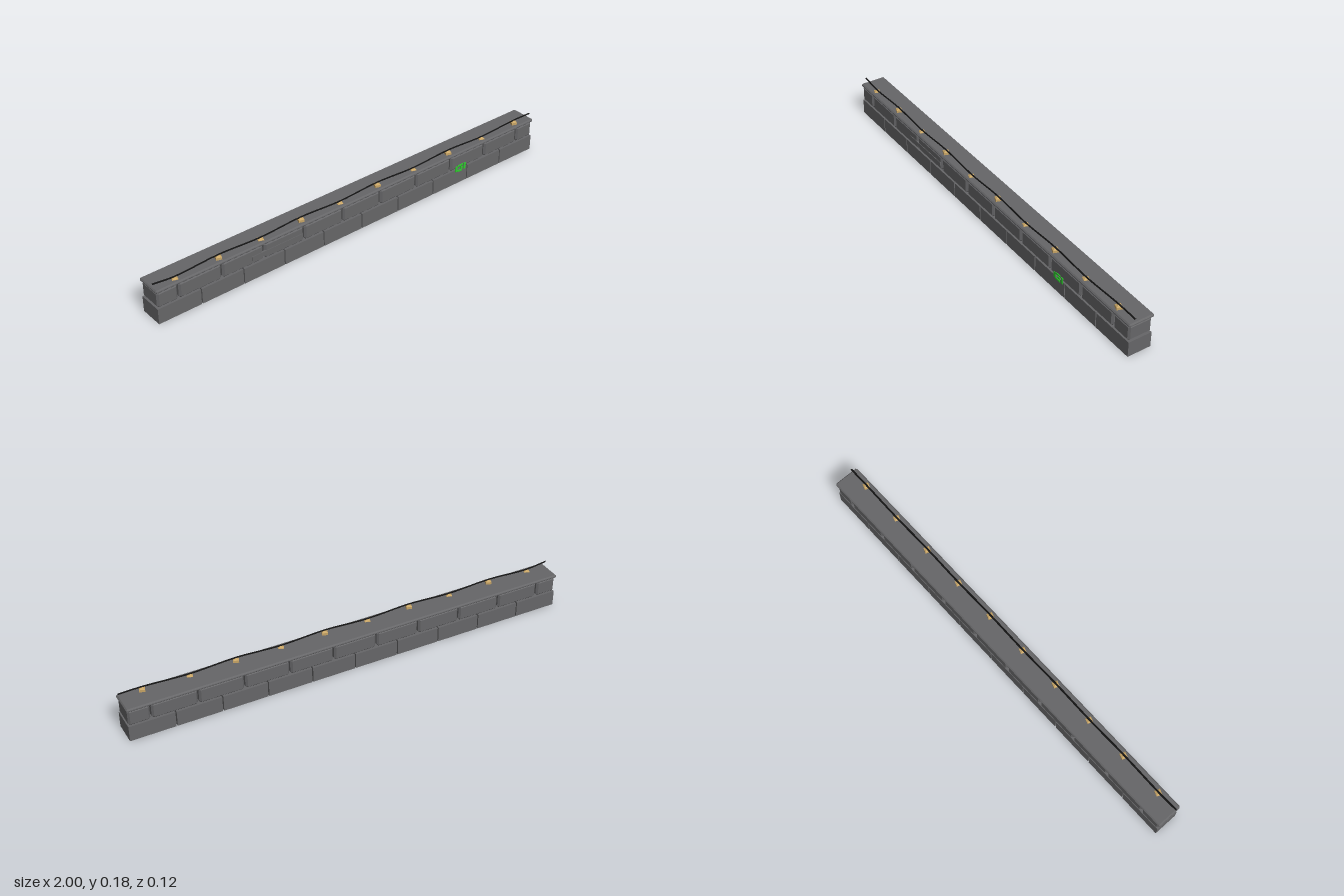
import * as THREE from 'three';
import { ConvexGeometry } from 'three/addons/geometries/ConvexGeometry.js';

const stone = new THREE.MeshStandardMaterial({ color: 0x666668 });
stone.name = 'grey stone';
const brass = new THREE.MeshStandardMaterial({ color: 0xc8a566 });
brass.name = 'tan brass';
const black = new THREE.MeshStandardMaterial({ color: 0x161616 });
black.name = 'black cable';
const green = new THREE.MeshStandardMaterial({ color: 0x2fc92f });
green.name = 'green paint';

// Box with every edge cut at 45 degrees
function chamferedBox(w, h, d, c) {
  const points = [];
  for (const x of [-1, 1]) for (const y of [-1, 1]) for (const z of [-1, 1]) {
    points.push(
      new THREE.Vector3(x * w / 2, y * (h / 2 - c), z * (d / 2 - c)),
      new THREE.Vector3(x * (w / 2 - c), y * h / 2, z * (d / 2 - c)),
      new THREE.Vector3(x * (w / 2 - c), y * (h / 2 - c), z * d / 2));
  }
  return new ConvexGeometry(points);
}

export function createModel() {
  const model = new THREE.Group();
  model.name = 'wall';

  function add(parent, name, geometry, material, x, y, z) {
    const mesh = new THREE.Mesh(geometry, material);
    mesh.name = name;
    mesh.position.set(x, y, z);
    parent.add(mesh);
    return mesh;
  }
  function addGroup(name) {
    const group = new THREE.Group();
    group.name = name;
    model.add(group);
    return group;
  }

  // Lower course of plain blocks
  const lower = addGroup('lowerCourse');
  const lowerBlock = new THREE.BoxGeometry(0.195, 0.07, 0.107);
  for (let i = 0; i < 10; i++) add(lower, 'lowerBlock', lowerBlock, stone, -0.9 + i * 0.2, 0.035, 0.001);

  // Upper course, shifted by half a block, with chamfered edges
  const upper = addGroup('upperCourse');
  const upperBlock = chamferedBox(0.194, 0.071, 0.107, 0.008);
  const halfBlock = chamferedBox(0.092, 0.071, 0.107, 0.008);
  for (let i = 0; i < 9; i++) add(upper, 'upperBlock', upperBlock, stone, -0.8 + i * 0.2, 0.1085, 0.001);
  for (const s of [-1, 1]) add(upper, 'halfBlock', halfBlock, stone, s * 0.949, 0.1085, 0.001);

  // Coping slab
  add(model, 'coping', chamferedBox(2, 0.0145, 0.117, 0.005), stone, 0, 0.15, 0);

  // Narrow panel set into the front
  add(model, 'frontPanel', new THREE.BoxGeometry(0.25, 0.019, 0.008), stone, -0.435, 0.1025, 0.053);

  // Pointed studs on the coping, every other one sunk
  const studs = addGroup('studs');
  const studBase = new THREE.CylinderGeometry(0.0172, 0.0172, 0.013, 4).toNonIndexed();
  const studTip = new THREE.ConeGeometry(0.0172, 0.008, 4).toNonIndexed();
  studBase.computeVertexNormals();
  studTip.computeVertexNormals();
  const path = [new THREE.Vector3(-1, 0.177, 0.032)];
  for (let i = 0; i < 10; i++) {
    const x = -0.9 + i * 0.2;
    const drop = i % 2 ? 0 : 0.009;
    const stud = new THREE.Group();
    stud.name = 'stud';
    stud.position.set(x, -drop, 0.032);
    stud.rotation.y = Math.PI / 4 - 0.33;
    add(stud, 'studBase', studBase, brass, 0, 0.1615, 0);
    add(stud, 'studTip', studTip, brass, 0, 0.172, 0);
    studs.add(stud);
    path.push(new THREE.Vector3(x, 0.1755 - drop, 0.032));
  }
  path.push(new THREE.Vector3(1, 0.174, 0.032));

  // Cable running over the stud tips
  const curve = new THREE.CatmullRomCurve3(path);
  add(model, 'cable', new THREE.TubeGeometry(curve, 60, 0.004, 4), black, 0, 0, 0);

  // Daubs of paint on the front
  const paint = addGroup('paintDaubs');
  for (const [x, y, w, h] of [
    [0.535, 0.075, 0.012, 0.026], [0.557, 0.088, 0.03, 0.008],
    [0.555, 0.062, 0.028, 0.008], [0.583, 0.076, 0.012, 0.03], [0.563, 0.075, 0.012, 0.01],
  ]) add(paint, 'paintDaub', new THREE.BoxGeometry(w, h, 0.003), green, x, y, 0.056);

  return model;
}
